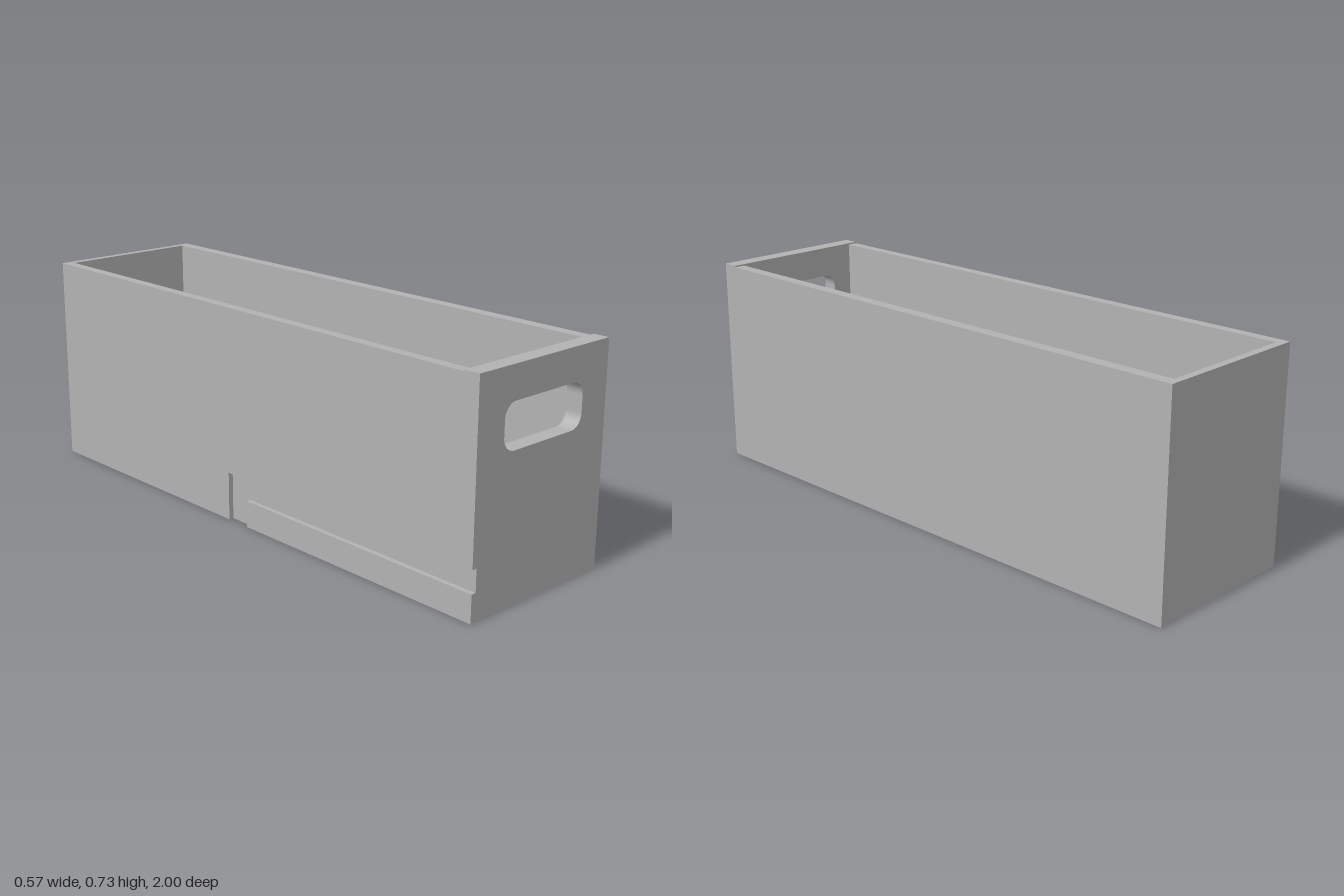
import * as THREE from 'three';

export function createModel() {
  const model = new THREE.Group();
  model.name = 'storageBin';
  const grey = new THREE.MeshStandardMaterial({ color: 0xb2b2b2 });
  grey.name = 'grey plastic';

  // Overall extents, inner cavity and the guide groove
  const X = 0.285, Z = 1, H = 0.725, FRONT_H = 0.73;
  const inL = -0.25, inR = 0.245, inBack = -0.975, inFront = 0.945;
  const floorT = 0.035, grooveX = -0.268;
  const gLow = 0.091, gHigh = 0.165, gBack = -0.06, gTurn = 0.03;

  function add(name, geometry) {
    const mesh = new THREE.Mesh(geometry, grey);
    mesh.name = name;
    model.add(mesh);
    return mesh;
  }
  // Box given by its lower and upper corners
  function slab(name, x0, x1, y0, y1, z0, z1) {
    add(name, new THREE.BoxGeometry(x1 - x0, y1 - y0, z1 - z0))
      .position.set((x0 + x1) / 2, (y0 + y1) / 2, (z0 + z1) / 2);
  }
  const outline = (pts) => new THREE.Shape(pts.map(([x, y]) => new THREE.Vector2(x, y)));

  // Floor and plain walls
  slab('floor', inL, inR, 0, floorT, inBack, inFront);
  slab('backWall', inL, inR, 0, H, -Z, inBack);
  slab('leftWall', inR, X, 0, H, -Z, inFront);
  slab('rightWallInner', grooveX, inL, 0, H, -Z, inFront);

  // Outer skin of the right wall, cut away by the L-shaped groove
  function skin(name, pts) {
    const g = new THREE.ExtrudeGeometry(outline(pts), { depth: X + grooveX, bevelEnabled: false });
    g.rotateY(-Math.PI / 2);
    add(name, g).position.x = grooveX;
  }
  skin('rightWallSkin', [[-Z, 0], [gBack, 0], [gBack, gHigh], [inFront, gHigh], [inFront, H], [-Z, H]]);
  skin('lowerRail', [[gTurn, 0], [inFront, 0], [inFront, gLow], [gTurn, gLow]]);

  // Slightly taller front panel with the groove's open end and a handle slot
  const front = outline([
    [-X, 0], [X, 0], [X, FRONT_H], [-X, FRONT_H],
    [-X, gHigh], [grooveX, gHigh], [grooveX, gLow], [-X, gLow],
  ]);
  const w = 0.173, y0 = 0.478, y1 = 0.623, r = 0.046;
  const slot = new THREE.Path();
  slot.absarc(w - r, y1 - r, r, 0, Math.PI / 2);
  slot.absarc(-w + r, y1 - r, r, Math.PI / 2, Math.PI);
  slot.absarc(-w + r, y0 + r, r, Math.PI, Math.PI * 1.5);
  slot.absarc(w - r, y0 + r, r, Math.PI * 1.5, Math.PI * 2);
  slot.closePath();
  front.holes.push(slot);
  add('frontPanel', new THREE.ExtrudeGeometry(front, {
    depth: Z - inFront, bevelEnabled: false, curveSegments: 12,
  })).position.z = inFront;

  return model;
}
